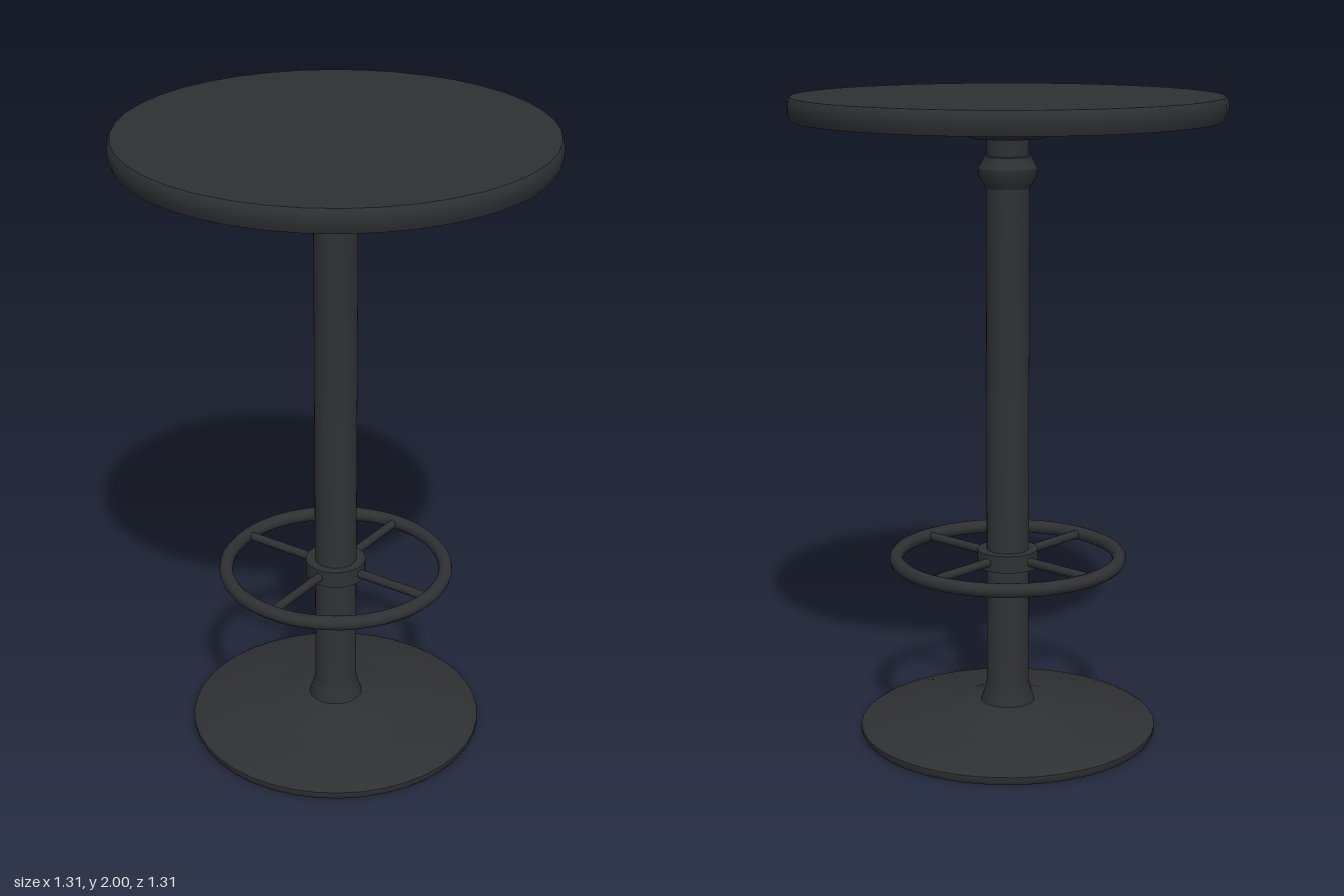
import * as THREE from 'three';
import { toCreasedNormals } from 'three/addons/utils/BufferGeometryUtils.js';

const material = new THREE.MeshStandardMaterial({ color: 0x2f3032 });

function addMesh(parent, name, geometry) {
  const mesh = new THREE.Mesh(geometry, material);
  mesh.name = name;
  parent.add(mesh);
  return mesh;
}

// Turned part from [radius, height] pairs listed bottom to top
function turned(parent, name, profile, sides = 40) {
  const points = profile.map(([r, y]) => new THREE.Vector2(r, y));
  const lathe = new THREE.LatheGeometry(points, sides);
  return addMesh(parent, name, toCreasedNormals(lathe, 0.55));
}

export function createModel() {
  const table = new THREE.Group();
  table.name = 'barTable';

  // Domed floor plate with a raised centre
  turned(table, 'base', [
    [0, 0], [0.46, 0], [0.467, 0.012], [0.467, 0.026], [0.455, 0.033],
    [0.285, 0.05], [0.2, 0.073], [0.11, 0.098], [0, 0.1],
  ]);

  // Post with flared foot and a collar near the top
  turned(table, 'column', [
    [0.086, 0.092], [0.083, 0.105], [0.073, 0.135], [0.066, 0.165],
    [0.066, 1.725], [0.088, 1.76], [0.09, 1.785], [0.077, 1.808],
    [0.074, 1.82], [0.064, 1.822], [0.064, 1.88],
  ]);

  // Mounting plate under the top
  turned(table, 'mountingPlate', [
    [0, 1.875], [0.108, 1.875], [0.185, 1.903], [0.185, 1.935],
  ]);

  // Round top with a softly bulged edge
  turned(table, 'tableTop', [
    [0, 1.93], [0.646, 1.93], [0.654, 1.95], [0.656, 1.97],
    [0.654, 1.988], [0.647, 2], [0, 2],
  ]);

  // Foot rest: hub, ring and four diagonal spokes
  const footRest = new THREE.Group();
  footRest.name = 'footRest';
  footRest.position.y = 0.57;
  table.add(footRest);

  turned(footRest, 'hub', [
    [0.06, -0.027], [0.095, -0.027], [0.095, 0.027], [0.06, 0.027],
  ], 32);

  addMesh(footRest, 'ring', new THREE.TorusGeometry(0.349, 0.022, 12, 48).rotateX(Math.PI / 2));

  for (let i = 0; i < 4; i++) {
    const spoke = new THREE.CylinderGeometry(0.014, 0.014, 0.27, 12, 1, true);
    spoke.rotateZ(Math.PI / 2).translate(0.215, 0, 0);
    addMesh(footRest, 'spoke', spoke).rotation.y = Math.PI / 4 + (i * Math.PI) / 2;
  }

  return table;
}
